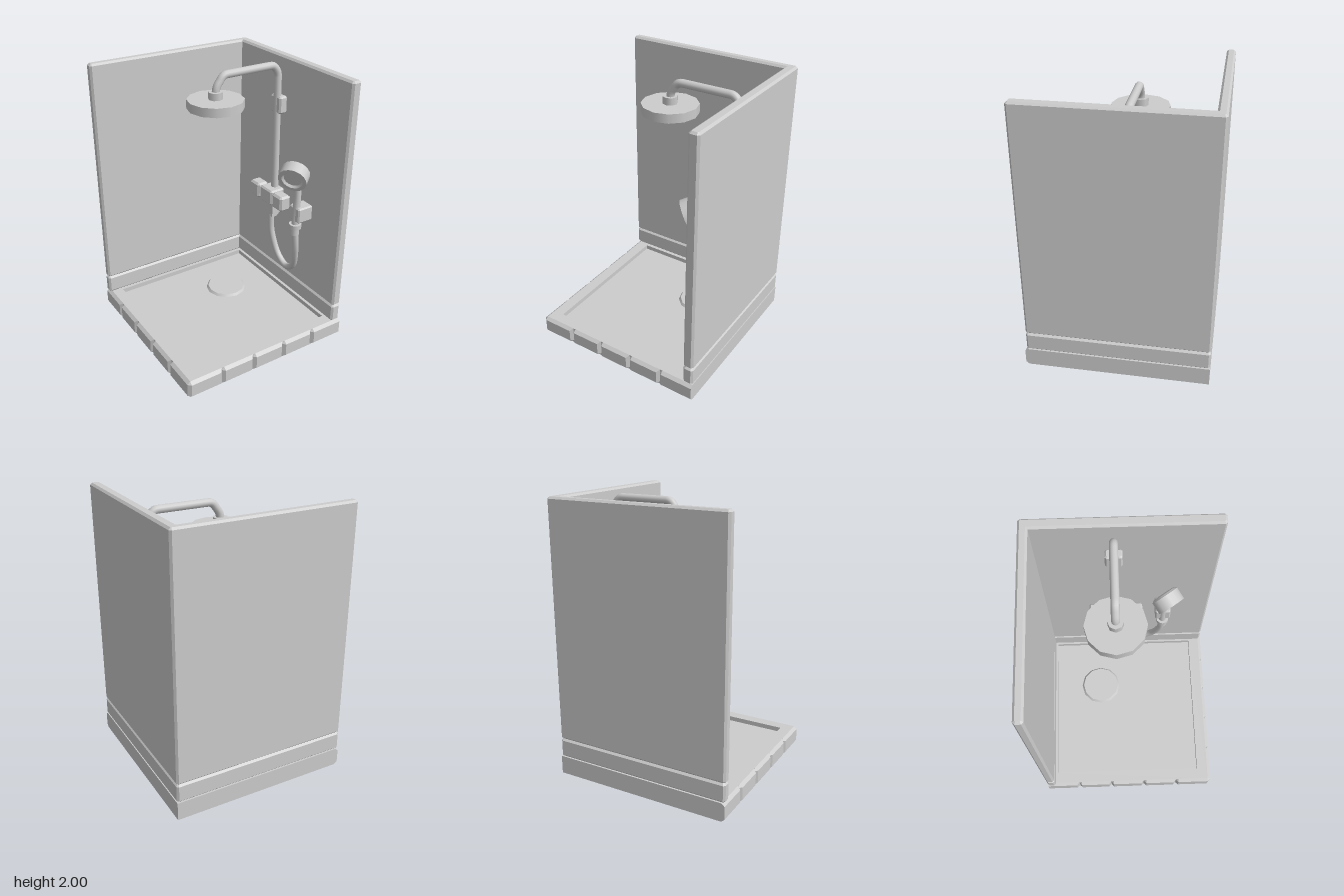
import * as THREE from 'three';

const grey = new THREE.MeshStandardMaterial({ color: 0xcccccc });
grey.name = 'grey';
const V = (x, y, z) => new THREE.Vector3(x, y, z);

function add(parent, name, geometry) {
  const mesh = new THREE.Mesh(geometry, grey);
  mesh.name = name;
  parent.add(mesh);
  return mesh;
}

// Shape from [x, z] corners (anticlockwise seen from above), cutting the convex corners by c
function chamferedShape(pts, c) {
  const out = [];
  pts.forEach(([x, z], i) => {
    const p = new THREE.Vector2(x, -z);
    const [ax, az] = pts[(i + pts.length - 1) % pts.length];
    const [bx, bz] = pts[(i + 1) % pts.length];
    const a = new THREE.Vector2(ax, -az).sub(p).normalize();
    const b = new THREE.Vector2(bx, -bz).sub(p).normalize();
    if (c > 0 && b.cross(a) > 0) out.push(p.clone().addScaledVector(a, c), p.clone().addScaledVector(b, c));
    else out.push(p);
  });
  return new THREE.Shape(out);
}

// Upright slab between y0 and y1 with chamfered edges
function slab(shape, y0, y1, c) {
  const g = new THREE.ExtrudeGeometry(shape, {
    depth: y1 - y0 - 2 * c, bevelEnabled: c > 0, bevelThickness: c, bevelSize: c, bevelOffset: -c, bevelSegments: 1,
  });
  return g.rotateX(-Math.PI / 2).translate(0, y0 + c, 0);
}

const rect = (x0, x1, z0, z1) => [[x0, z0], [x0, z1], [x1, z1], [x1, z0]];
const block = (x0, x1, y0, y1, z0, z1, c) => slab(chamferedShape(rect(x0, x1, z0, z1), c), y0, y1, c);

// Pipe along a polyline with rounded corners
function pipe(points, bend, radius, segments) {
  const path = new THREE.CurvePath();
  let last = points[0];
  for (let i = 1; i < points.length - 1; i++) {
    const p = points[i];
    const before = p.clone().add(points[i - 1].clone().sub(p).setLength(bend));
    const after = p.clone().add(points[i + 1].clone().sub(p).setLength(bend));
    path.add(new THREE.LineCurve3(last, before));
    path.add(new THREE.QuadraticBezierCurve3(before, p, after));
    last = after;
  }
  path.add(new THREE.LineCurve3(last, points[points.length - 1]));
  return new THREE.TubeGeometry(path, segments, radius, 12);
}

// Notched, bevelled tile edging along the left and front of the tray
function tileEdging() {
  const o = 0.66, n = 0.637, h = 0.02;
  const plan = [[-n, -o], [-o, -o]];
  for (const z of [-0.405, -0.145, 0.118, 0.38]) plan.push([-o, z - h], [-n, z], [-o, z + h]);
  plan.push([-o, n], [-n, o]);
  for (const x of [-0.385, -0.125, 0.135, 0.395]) plan.push([x - h, o], [x, n], [x + h, o]);
  plan.push([o, o], [o, n]);
  const inset = plan.map(([x, z]) => [Math.max(x, -n), Math.min(z, n)]);
  const rings = [[inset, 0], [plan, 0.02], [plan, 0.115], [inset, 0.135]];
  const pos = [];
  for (let r = 0; r < 3; r++) {
    for (let i = 0; i < plan.length - 1; i++) {
      const at = (k, j) => [rings[k][0][j][0], rings[k][1], rings[k][0][j][1]];
      const a = at(r, i), b = at(r, i + 1), c = at(r + 1, i + 1), d = at(r + 1, i);
      pos.push(...a, ...b, ...c, ...a, ...c, ...d);
    }
  }
  const g = new THREE.BufferGeometry();
  g.setAttribute('position', new THREE.Float32BufferAttribute(pos, 3));
  g.computeVertexNormals();
  return g;
}

export function createModel() {
  const model = new THREE.Group();
  model.name = 'showerCubicle';

  // Tray: rim with a sunken floor, tiled edging and a raised drain cover
  const tray = new THREE.Group();
  tray.name = 'tray';
  model.add(tray);
  const basin = rect(-0.555, 0.575, -0.58, 0.555);
  const rim = chamferedShape(rect(-0.637, 0.66, -0.66, 0.637), 0);
  rim.holes.push(chamferedShape(basin, 0));
  add(tray, 'trayRim', slab(rim, 0, 0.135, 0));
  add(tray, 'trayFloor', slab(chamferedShape(basin, 0), 0, 0.1, 0));
  add(tray, 'tileEdging', tileEdging());
  add(tray, 'drainCover', new THREE.CylinderGeometry(0.145, 0.16, 0.02, 12).translate(0.2, 0.108, -0.215));

  // L-shaped walls: skirting below, tall panel above
  const corner = chamferedShape(
    [[-0.66, -0.66], [-0.66, -0.595], [0.585, -0.595], [0.585, 0.648], [0.66, 0.648], [0.66, -0.66]], 0.014);
  add(model, 'wallSkirting', slab(corner, 0.135, 0.275, 0.014));
  add(model, 'wallPanels', slab(corner, 0.275, 2, 0.014));

  // Overhead shower
  const z = -0.068;
  const overhead = new THREE.Group();
  overhead.name = 'overheadShower';
  model.add(overhead);
  add(overhead, 'riserPipe', pipe([V(0.013, 1.8, z), V(0.015, 1.865, z), V(0.075, 1.947, z),
    V(0.495, 1.947, z), V(0.535, 1.89, z), V(0.548, 0.93, z)], 0.03, 0.028, 100));
  add(overhead, 'rainHead', new THREE.CylinderGeometry(0.2, 0.2, 0.065, 12).translate(0.012, 1.757, z));
  add(overhead, 'rainHeadNut', new THREE.CylinderGeometry(0.052, 0.052, 0.055, 8).translate(0.012, 1.813, z));
  add(overhead, 'upperBracket', block(0.52, 0.59, 1.59, 1.72, -0.13, -0.01, 0.012));

  // Mixer valve with a tap on each side and the hose outlet underneath
  const mixer = new THREE.Group();
  mixer.name = 'mixer';
  model.add(mixer);
  add(mixer, 'mixerBody', block(0.46, 0.59, 0.87, 0.99, -0.143, 0.006, 0.012));
  for (const side of [-1, 1]) {
    const c = z + side * 0.143;
    add(mixer, 'tap', block(0.455, 0.552, 0.87, 0.99, c - 0.058, c + 0.058, 0.015));
  }
  add(mixer, 'tapSpindle', new THREE.CylinderGeometry(0.03, 0.03, 0.22, 12).rotateX(Math.PI / 2).translate(0.505, 0.93, z));
  const outlet = new THREE.Shape([[0.505, 0.88], [0.505, 0.745], [0.545, 0.745], [0.59, 0.785], [0.59, 0.88]]
    .map(([x, y]) => new THREE.Vector2(x, y)));
  add(mixer, 'hoseOutlet', new THREE.ExtrudeGeometry(outlet, { depth: 0.08, bevelEnabled: false }).translate(0, 0, z - 0.04));

  // Hand shower in its wall holder, with the hose looping back to the mixer
  const hand = new THREE.Group();
  hand.name = 'handShower';
  model.add(hand);
  add(hand, 'handHolder', block(0.46, 0.59, 0.87, 0.99, 0.23, 0.345, 0.01));
  add(hand, 'handle', pipe([V(0.477, 0.82, 0.288), V(0.485, 1.06, 0.288), V(0.47, 1.26, 0.29)], 0.05, 0.028, 12));
  add(hand, 'handleNut', new THREE.CylinderGeometry(0.047, 0.047, 0.035, 12).translate(0.478, 0.83, 0.288));
  add(hand, 'handleCollar', new THREE.CylinderGeometry(0.035, 0.035, 0.06, 12).translate(0.476, 0.79, 0.288));
  const hose = new THREE.CatmullRomCurve3([V(0.522, 0.76, z), V(0.53, 0.6, -0.06), V(0.548, 0.42, 0.01),
    V(0.552, 0.36, 0.11), V(0.54, 0.42, 0.21), V(0.505, 0.6, 0.275), V(0.478, 0.8, 0.288)]);
  add(hand, 'hose', new THREE.TubeGeometry(hose, 48, 0.025, 10));

  // Spray head: separate bands keep the rims crisp
  const head = new THREE.Group();
  head.name = 'sprayHead';
  head.position.set(0.43, 1.257, 0.305);
  head.quaternion.setFromUnitVectors(V(0, 1, 0), V(-0.75, -0.37, 0.52).normalize());
  hand.add(head);
  const bands = {
    sprayBack: [[0, -0.052], [0.088, -0.052]],
    sprayEdge: [[0.088, -0.052], [0.105, -0.038]],
    spraySide: [[0.105, -0.038], [0.105, 0.052]],
    sprayRim: [[0.105, 0.052], [0.078, 0.052]],
    sprayRecess: [[0.078, 0.052], [0.066, 0.036]],
    sprayFace: [[0.066, 0.036], [0, 0.036]],
  };
  for (const [name, profile] of Object.entries(bands)) {
    add(head, name, new THREE.LatheGeometry(profile.map(([r, y]) => new THREE.Vector2(r, y)), 16));
  }
  return model;
}
